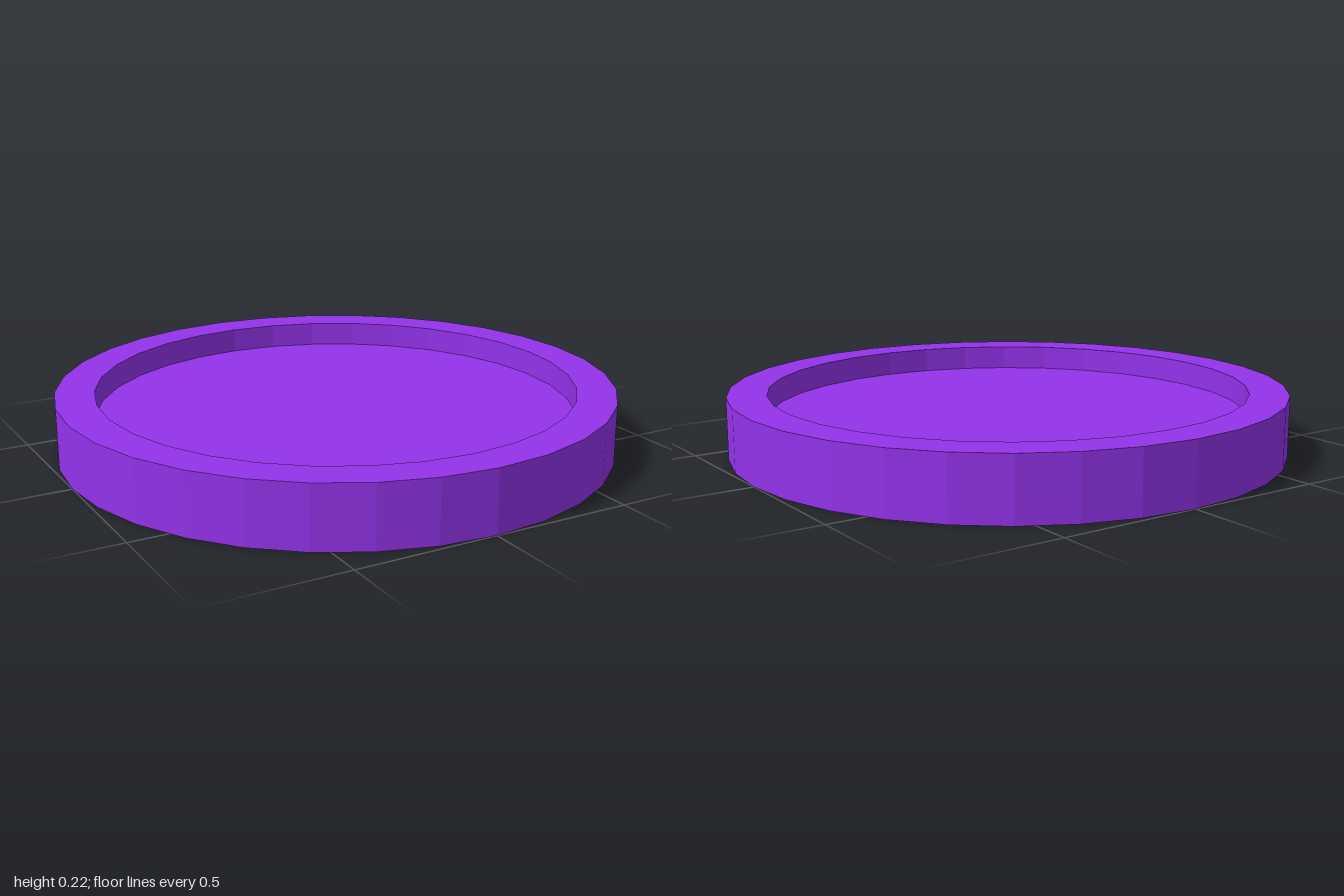
import * as THREE from 'three';

const SIDES = 32;
const HEIGHT = 0.22;
const TOP = { radius: 0.86, floor: 0.13 };
const BOTTOM = { radius: 0.845, floor: 0.068 };

export function createModel() {
  const group = new THREE.Group();
  group.name = 'recessedDisc';
  const material = new THREE.MeshStandardMaterial({ color: 0x9333ea, flatShading: true });

  // Raised rim, running from the underside recess round to the upper recess
  const profile = [
    [BOTTOM.radius, BOTTOM.floor],
    [BOTTOM.radius, 0],
    [1, 0],
    [1, HEIGHT],
    [TOP.radius, HEIGHT],
    [TOP.radius, TOP.floor],
  ].map(([r, y]) => new THREE.Vector2(r, y));
  const rim = new THREE.Mesh(new THREE.LatheGeometry(profile, SIDES), material);
  rim.name = 'rim';
  group.add(rim);

  // Recessed floors, one facing up and one facing down
  const addFloor = (name, { radius, floor }, facing) => {
    const mesh = new THREE.Mesh(new THREE.CircleGeometry(radius, SIDES), material);
    mesh.name = name;
    mesh.rotation.x = -facing * Math.PI / 2;
    mesh.position.y = floor;
    group.add(mesh);
  };
  addFloor('upperFloor', TOP, 1);
  addFloor('lowerFloor', BOTTOM, -1);

  return group;
}
